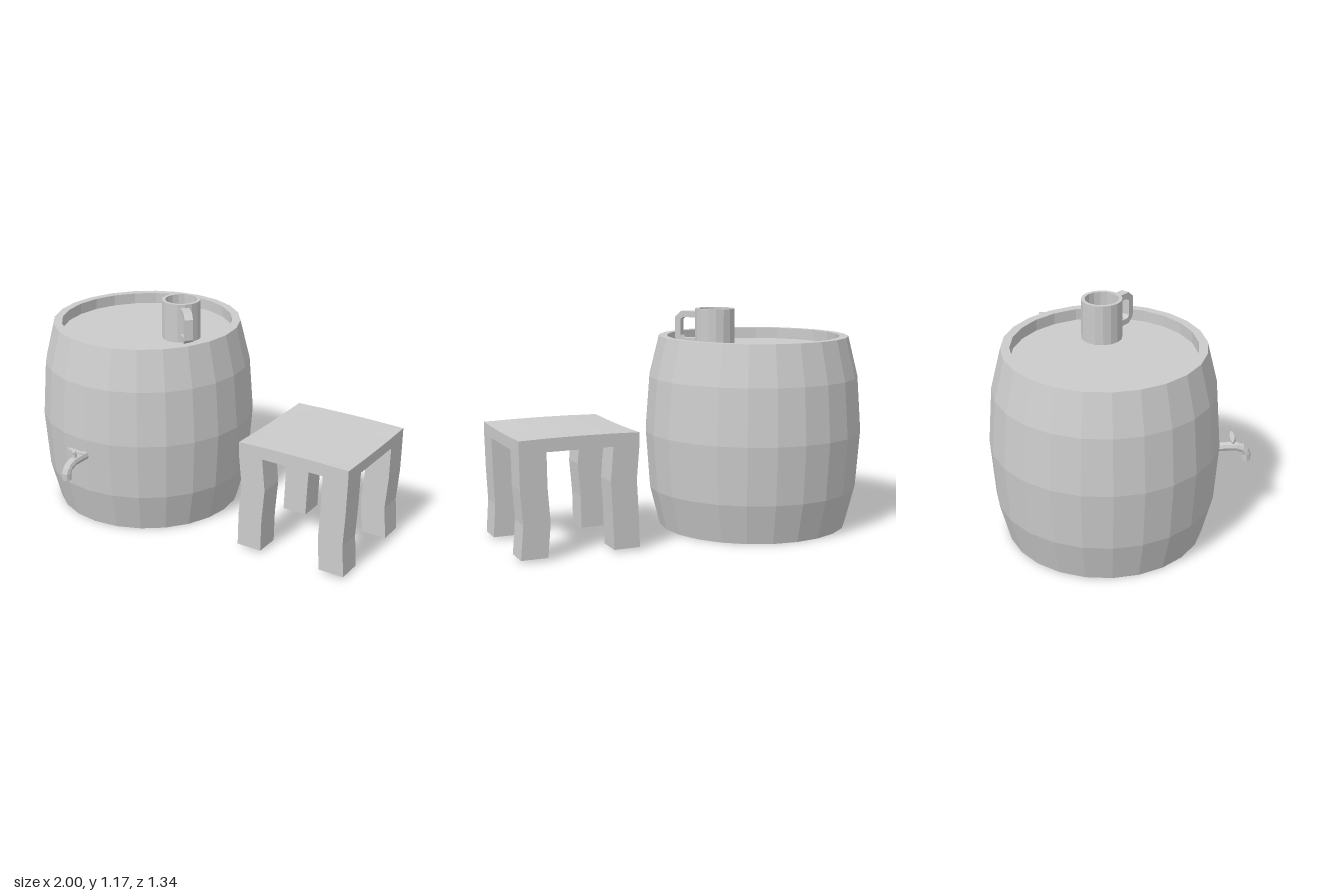
import * as THREE from 'three';

const mat = new THREE.MeshStandardMaterial({ color: 0xcccccc, flatShading: true, side: THREE.DoubleSide });

function add(parent, name, geometry, x = 0, y = 0, z = 0) {
  const mesh = new THREE.Mesh(geometry, mat);
  mesh.name = name;
  mesh.position.set(x, y, z);
  parent.add(mesh);
  return mesh;
}

function lathe(points, sides) {
  return new THREE.LatheGeometry(points.map(([r, y]) => new THREE.Vector2(r, y)), sides);
}

// Moves every vertex of a geometry by a rule
function bend(geometry, rule) {
  const p = geometry.attributes.position;
  const v = new THREE.Vector3();
  for (let i = 0; i < p.count; i++) {
    rule(v.fromBufferAttribute(p, i));
    p.setXYZ(i, v.x, v.y, v.z);
  }
  geometry.computeVertexNormals();
  return geometry;
}

function makeBarrel() {
  const barrel = new THREE.Group();
  barrel.name = 'barrel';
  // Bulging staves, rim and sunken lid in one profile
  add(barrel, 'barrelBody', lathe([
    [0, 0], [0.51, 0], [0.563, 0.21], [0.585, 0.515], [0.563, 0.81],
    [0.51, 1.025], [0.465, 1.025], [0.465, 0.965], [0, 0.965],
  ], 24));
  return barrel;
}

function makeTap() {
  const tap = new THREE.Group();
  tap.name = 'tap';
  // Spout that turns down at its end
  const path = new THREE.CurvePath();
  const pts = [[0.53, 0.425], [0.675, 0.425], [0.715, 0.41], [0.732, 0.382], [0.732, 0.345]]
    .map(([z, y]) => new THREE.Vector3(0, y, z));
  for (let i = 1; i < pts.length; i++) path.add(new THREE.LineCurve3(pts[i - 1], pts[i]));
  add(tap, 'spout', new THREE.TubeGeometry(path, 14, 0.024, 8, false));
  // Stem and flat turning handle
  add(tap, 'stem', new THREE.CylinderGeometry(0.01, 0.012, 0.045, 8), 0, 0.46, 0.662);
  add(tap, 'knob', new THREE.SphereGeometry(0.014, 8, 6), 0, 0.472, 0.662);
  const handle = add(tap, 'tapHandle', new THREE.CylinderGeometry(1, 1, 1, 12), 0, 0.477, 0.655);
  handle.scale.set(0.06, 0.009, 0.012);
  handle.rotation.y = -0.1;
  return tap;
}

function makeMug() {
  const mug = new THREE.Group();
  mug.name = 'mug';
  add(mug, 'cup', lathe([
    [0, 0], [0.105, 0], [0.105, 0.21], [0.086, 0.21], [0.086, 0.025], [0, 0.025],
  ], 16));
  // Chamfered C-shaped handle
  const outline = [
    [0.09, 0.192], [0.185, 0.192], [0.217, 0.162], [0.217, 0.05], [0.185, 0.02], [0.09, 0.02],
    [0.09, 0.05], [0.172, 0.05], [0.187, 0.064], [0.187, 0.148], [0.172, 0.16], [0.09, 0.16],
  ].map(([x, y]) => new THREE.Vector2(x, y));
  const geometry = new THREE.ExtrudeGeometry(new THREE.Shape(outline), { depth: 0.045, bevelEnabled: false });
  geometry.translate(0, 0, -0.0225);
  add(mug, 'mugHandle', geometry).rotation.y = -Math.PI / 4;
  return mug;
}

function makeStool() {
  const stool = new THREE.Group();
  stool.name = 'stool';
  const half = 0.31, legWidth = 0.138, legHeight = 0.523;
  // Slightly crowned seat
  const seat = new THREE.BoxGeometry(half * 2, 0.068, half * 2, 4, 1, 4);
  add(stool, 'seat', bend(seat, (v) => {
    if (v.y > 0) v.y -= 0.01 * (v.x / half) ** 2 * (1 - 0.5 * (v.z / half) ** 2);
  }), 0, 0.57, 0);
  // Crooked legs: sideways shift at the lower and upper kink of each
  const legs = [
    ['frontRightLeg', -1, 1, 0.003, 0.018],
    ['backRightLeg', -1, -1, 0.006, 0.015],
    ['frontLeftLeg', 1, 1, -0.012, -0.004],
    ['backLeftLeg', 1, -1, -0.015, -0.002],
  ];
  for (const [name, sx, sz, low, high] of legs) {
    const leg = new THREE.BoxGeometry(legWidth, legHeight, legWidth, 1, 3, 1);
    bend(leg, (v) => {
      if (Math.abs(v.y) < legHeight * 0.3) v.x += v.y < 0 ? low : high;
    });
    const c = half - legWidth / 2;
    add(stool, name, leg, sx * c, 0.013 + legHeight / 2, sz * c);
  }
  return stool;
}

export function createModel() {
  const model = new THREE.Group();
  model.name = 'barrelAndStool';
  const place = (part, x, y, z) => {
    part.position.set(x, y, z);
    model.add(part);
  };
  place(makeBarrel(), -0.415, 0, -0.085);
  place(makeTap(), -0.415, 0, -0.085);
  place(makeMug(), -0.187, 0.965, -0.083);
  place(makeStool(), 0.687, 0, -0.083);
  return model;
}
